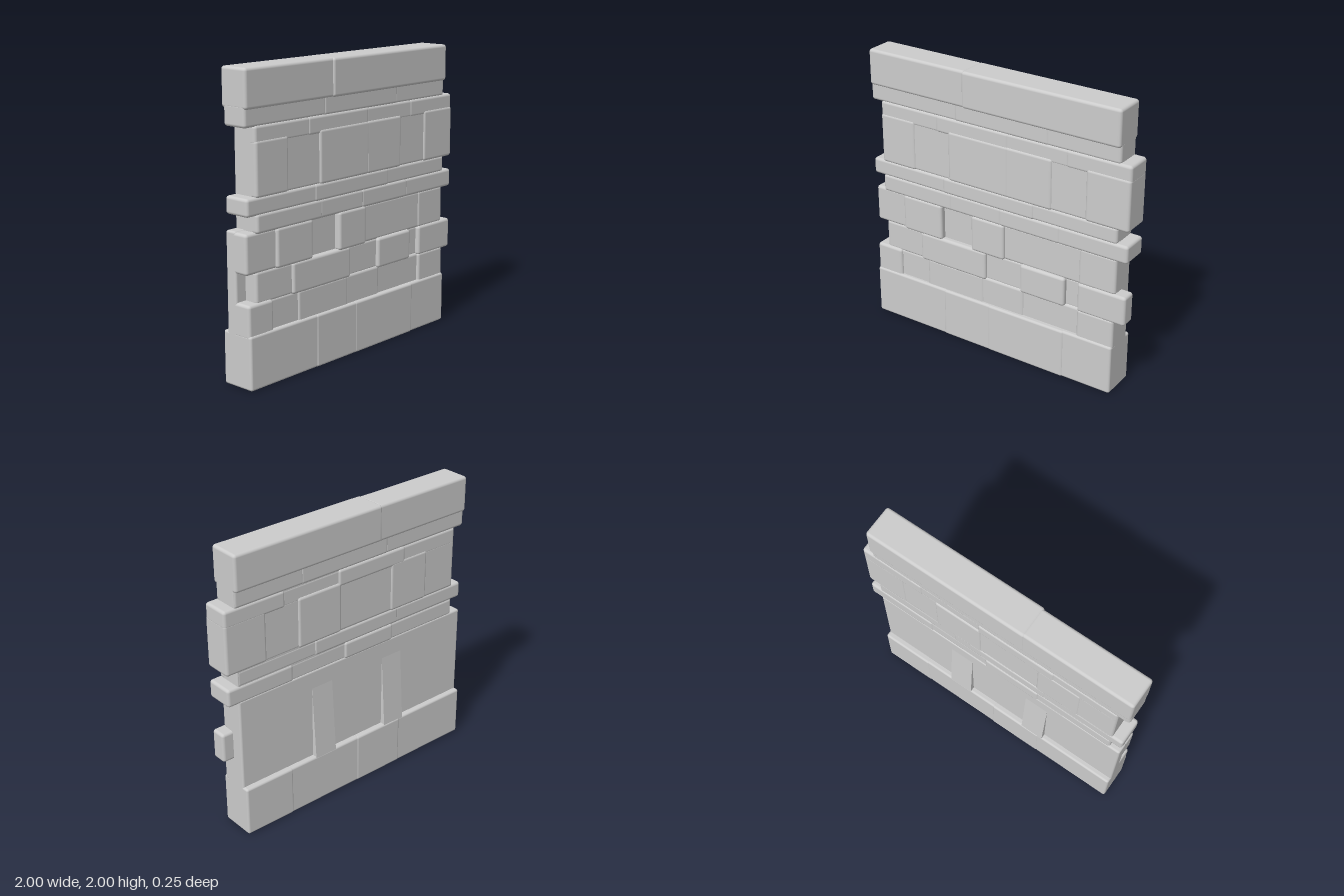
import * as THREE from 'three';
import { RoundedBoxGeometry } from 'three/addons/geometries/RoundedBoxGeometry.js';

const material = new THREE.MeshStandardMaterial({ color: 0xcccccc });

// Rounded block given by its extents on each axis
function block(parent, name, [x0, x1], [y0, y1], [z0, z1], radius = 0.02) {
  const geo = new RoundedBoxGeometry(x1 - x0, y1 - y0, z1 - z0, 3, radius);
  const mesh = new THREE.Mesh(geo, material);
  mesh.name = name;
  mesh.position.set((x0 + x1) / 2, (y0 + y1) / 2, (z0 + z1) / 2);
  parent.add(mesh);
}

// Row of touching stones; each stone is [left end, front z, back z], xEnd closes the row
function course(parent, name, y0, y1, xEnd, stones, radius = 0.02) {
  const row = new THREE.Group();
  row.name = name;
  stones.forEach(([x, front, back], i) => {
    const last = i === stones.length - 1;
    // neighbours overlap a little so the joints stay shallow
    const x0 = i === 0 ? x : x - 0.012;
    const x1 = last ? xEnd : stones[i + 1][0] + 0.012;
    block(row, 'stone', [x0, x1], [y0, y1], [back, front], radius);
  });
  parent.add(row);
}

export function createModel() {
  const wall = new THREE.Group();
  wall.name = 'stoneWall';

  // Inner wall that fills the joints, and the smooth lower back
  block(wall, 'core', [-0.92, 0.92], [0.3, 1.8], [-0.078, 0.072], 0.01);
  block(wall, 'backPanel', [-1, 0.92], [0.3, 1.0], [-0.085, 0.0], 0.015);

  // Base
  course(wall, 'base', 0, 0.355, 0.92, [
    [-1, 0.122, -0.122], [-0.4, 0.126, -0.125], [-0.03, 0.128, -0.122], [0.55, 0.122, -0.125],
  ], 0.016);

  // Lower courses, staggered and uneven on the front
  course(wall, 'lowerCourse', 0.33, 0.55, 0.92, [
    [-1, 0.112, -0.08], [-0.8, 0.095, -0.07], [-0.55, 0.105, -0.07],
    [-0.1, 0.1, -0.07], [0.22, 0.092, -0.07], [0.66, 0.11, -0.08],
  ]);
  course(wall, 'keyedCourse', 0.535, 0.745, 1, [
    [-0.92, 0.095, -0.07], [-0.6, 0.112, -0.07], [-0.08, 0.09, -0.07],
    [0.22, 0.114, -0.07], [0.54, 0.08, -0.07], [0.66, 0.11, 0],
  ]);
  course(wall, 'recessedCourse', 0.735, 0.995, 0.92, [
    [-1, 0.095, -0.08], [-0.74, 0.114, -0.07], [-0.44, 0.07, -0.07],
    [-0.17, 0.116, -0.07], [0.07, 0.094, -0.07], [0.66, 0.1, -0.08],
  ]);

  // Thin courses
  course(wall, 'thinCourse', 0.985, 1.11, 1, [
    [-0.92, 0.113, -0.083], [-0.35, 0.112, -0.09], [0.05, 0.114, -0.08], [0.5, 0.112, -0.085],
  ]);
  course(wall, 'bondCourse', 1.1, 1.215, 0.92, [
    [-1, 0.11, -0.083], [-0.4, 0.113, -0.085], [0.3, 0.108, -0.08],
  ]);

  // Tall upper course with its end lug and the cap bed above
  course(wall, 'tallCourse', 1.205, 1.56, 1, [
    [-0.92, 0.11, -0.085], [-0.65, 0.102, -0.09], [-0.35, 0.114, -0.082],
    [0.1, 0.114, -0.09], [0.43, 0.104, -0.08], [0.7, 0.114, -0.085],
  ]);
  course(wall, 'upperThinCourse', 1.53, 1.65, 1, [
    [-0.92, 0.105, -0.085], [-0.45, 0.108, -0.09], [0.1, 0.106, -0.08], [0.55, 0.108, -0.085],
  ]);
  course(wall, 'capBed', 1.64, 1.78, 0.92, [
    [-1, 0.1, -0.083], [-0.3, 0.104, -0.085], [0.4, 0.102, -0.083],
  ]);

  // Cap of two long stones
  course(wall, 'cap', 1.75, 2, 0.92, [[-1, 0.112, -0.1], [-0.23, 0.122, -0.103]]);

  // Two sloping buttresses on the back, running down to the base
  const profile = new THREE.Shape([
    new THREE.Vector2(0.07, 0.33), new THREE.Vector2(0.122, 0.33),
    new THREE.Vector2(0.083, 0.9), new THREE.Vector2(0.07, 0.9),
  ]);
  for (const x of [-0.44, 0.17]) {
    const geo = new THREE.ExtrudeGeometry(profile, { depth: 0.17, bevelEnabled: false });
    geo.rotateY(Math.PI / 2);
    const buttress = new THREE.Mesh(geo, material);
    buttress.name = 'buttress';
    buttress.position.x = x;
    wall.add(buttress);
  }
  return wall;
}
